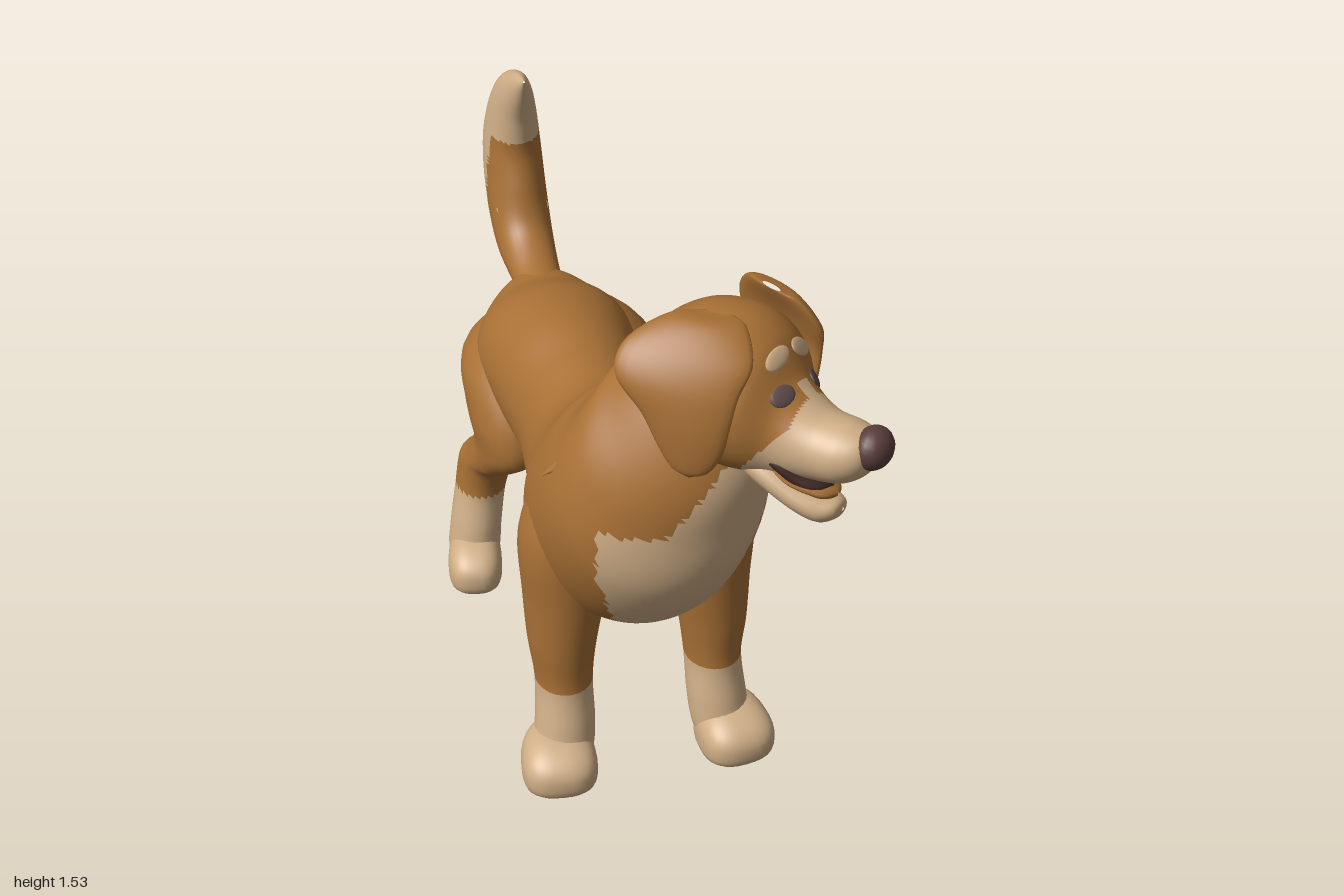
import * as THREE from 'three';

const mat = (name, color) => Object.assign(new THREE.MeshStandardMaterial({ color }), { name });
const DOWN = -Math.PI / 2;
const AXIS = -0.07; // midline of the leg pairs

// Smooth skin through elliptical rings [x, y, z, halfWidth, halfHeight, pitch]
function loft(rings, sides = 24, steps = 8) {
  const centre = new THREE.CatmullRomCurve3(rings.map(r => new THREE.Vector3(r[0], r[1], r[2])), false, 'catmullrom', 0.5);
  const size = new THREE.CatmullRomCurve3(rings.map(r => new THREE.Vector3(r[3], r[4], r[5])), false, 'catmullrom', 0.5);
  const n = (rings.length - 1) * steps, pos = [], index = [];
  for (let i = 0; i <= n; i++) {
    const c = centre.getPoint(i / n), s = size.getPoint(i / n);
    const w = Math.max(0.002, s.x), h = Math.max(0.002, s.y);
    for (let j = 0; j < sides; j++) {
      const a = j / sides * Math.PI * 2, k = Math.sin(a) * h;
      pos.push(c.x + Math.cos(a) * w, c.y + Math.cos(s.z) * k, c.z - Math.sin(s.z) * k);
      if (i === n) continue;
      const p = i * sides + j, q = i * sides + (j + 1) % sides;
      index.push(p, q, p + sides, q, q + sides, p + sides);
    }
  }
  const g = new THREE.BufferGeometry();
  g.setAttribute('position', new THREE.Float32BufferAttribute(pos, 3));
  g.setIndex(index);
  g.computeVertexNormals();
  return g;
}

// Sorts the faces into two groups; rule(x, y, z) is true where the second colour goes
function paint(g, rule) {
  const p = g.attributes.position, id = g.index.array, sets = [[], []];
  for (let i = 0; i < id.length; i += 3) {
    const t = [id[i], id[i + 1], id[i + 2]];
    const mid = f => (f(t[0]) + f(t[1]) + f(t[2])) / 3;
    sets[rule(mid(k => p.getX(k)), mid(k => p.getY(k)), mid(k => p.getZ(k))) ? 1 : 0].push(...t);
  }
  g.setIndex([...sets[0], ...sets[1]]);
  g.addGroup(0, sets[0].length, 0);
  g.addGroup(sets[0].length, sets[1].length, 1);
  return g;
}

function warp(g, f) {
  const p = g.attributes.position, v = new THREE.Vector3();
  for (let i = 0; i < p.count; i++) {
    f(v.fromBufferAttribute(p, i));
    p.setXYZ(i, v.x, v.y, v.z);
  }
  g.computeVertexNormals();
  return g;
}

export function createModel() {
  const dog = new THREE.Group();
  dog.name = 'dog';
  const brown = mat('brown fur', 0xa87035), cream = mat('cream fur', 0xcfae86);
  const dark = mat('nose', 0x5a3e3a), eyeMat = mat('eye', 0x5e4a4a);
  const mouthMat = mat('mouth', 0x3c2724);
  const coat = [brown, cream];
  const add = (parent, name, g, m) => {
    const mesh = new THREE.Mesh(g, m);
    mesh.name = name;
    parent.add(mesh);
    return mesh;
  };

  // Torso and neck in one skin, cream on the chest and belly
  const torso = loft([
    [-.09, .78, -.6, .01, .01, 0], [-.09, .78, -.58, .1, .09, 0], [-.09, .75, -.5, .18, .14, 0],
    [-.09, .74, -.38, .22, .195, 0], [-.09, .74, -.2, .205, .215, 0], [-.085, .72, -.05, .19, .225, 0],
    [-.085, .69, .1, .2, .255, 0], [-.08, .71, .22, .23, .285, .05], [-.075, .75, .33, .27, .32, .15],
    [-.065, .82, .46, .29, .335, .35], [-.055, .955, .58, .275, .28, .68], [-.02, 1.1, .62, .245, .24, .8],
    [.03, 1.22, .615, .205, .215, 1], [.08, 1.35, .61, .14, .14, 1.1], [.08, 1.4, .62, .02, .02, 1.1]], 72, 12);
  const chest = (x, y, z) => z > .56 && x < Math.min(.26, .02 + .33 * (y - .42)) &&
    x > (y > .94 ? -.1 + .75 * (y - .94) : Math.max(-.25, -.14 - .3 * (y - .43)));
  const belly = (x, y, z) => z > -.3 && z < .58 && y < .5 - .15 * Math.min(z, .15);
  add(dog, 'torso', paint(torso, (x, y, z) => chest(x, y, z) || belly(x, y, z)), coat);

  // Tail, cream on the back and tip
  const tail = loft([
    [-.09, .83, -.45, .06, .05, 3.14], [-.09, .84, -.6, .07, .057, 3], [-.09, .88, -.74, .082, .085, 2.5],
    [-.09, .99, -.84, .085, .118, 2.05], [-.09, 1.13, -.88, .08, .115, 1.6], [-.09, 1.27, -.84, .06, .09, 1.1],
    [-.09, 1.36, -.76, .03, .045, .85], [-.09, 1.405, -.7, .003, .003, .8]], 32, 12);
  add(dog, 'tail', paint(tail, (x, y, z) => y > 1.17 || z < -.84 || (y < .9 && z < -.72 - (y - .8) * 1.1)), coat);

  // Paw: rounded block with a flat sole, brown where the spot rule says
  function paw(name, x, z, hx, hz, yaw, spot) {
    const box = v => Math.sign(v) * Math.abs(v) ** .78;
    const g = warp(new THREE.SphereGeometry(1, 36, 24), v => {
      const taper = .9 + .1 * v.z; // narrower at the heel
      v.set(box(v.x) * hx * taper, Math.max(0.003, .045 + box(v.y) * .09 * (1 - .2 * v.z)), box(v.z) * hz);
    });
    const m = add(dog, name, paint(g, spot), [cream, brown]);
    m.position.set(x, 0, z);
    m.rotation.y = yaw;
  }

  // Legs: [distance from midline, y, z, half x, half z]
  const front = [[.06, .98, .45, .06, .06], [.12, .9, .44, .12, .11], [.165, .8, .43, .13, .135],
    [.19, .7, .43, .123, .135], [.195, .55, .43, .11, .125],
    [.205, .4, .44, .092, .105], [.205, .27, .45, .077, .09], [.21, .15, .48, .08, .085],
    [.22, .06, .5, .08, .08], [.22, .02, .5, .05, .05]];
  const rear = [[.02, .87, -.4, .03, .05], [.08, .81, -.4, .105, .14], [.145, .71, -.4, .13, .187],
    [.168, .6, -.388, .115, .175], [.175, .5, -.41, .095, .145], [.2, .42, -.505, .082, .115],
    [.22, .365, -.56, .077, .103], [.238, .27, -.57, .072, .085], [.258, .15, -.555, .073, .085],
    [.268, .06, -.545, .072, .08], [.268, .02, -.545, .04, .04]];
  for (const s of [1, -1]) {
    const side = s > 0 ? 'left' : 'right';
    const leg = (name, rings, shift) => add(dog, side + name, paint(loft(
      rings.map(([d, y, z, w, h]) => [AXIS + s * d, y, z + shift(y), w, h, DOWN]), 24, 8),
    (x, y) => y < .275), coat);
    leg('FrontLeg', front, () => 0);
    paw(side + 'FrontPaw', AXIS + s * .242, .535, .112, .117, s * .12, () => false);
    // the right rear leg steps forward
    const step = y => s > 0 ? 0 : .15 * THREE.MathUtils.clamp((.7 - y) / .28, 0, 1);
    leg('RearLeg', rear, step);
    paw(side + 'RearPaw', AXIS + s * .275, -.505 + step(0), .086, .127, s * .2,
      (x, y, z) => s > 0 && x > .04 && Math.hypot(y - .1, (z - .035) * .7) < .024);
  }

  // Head, turned to its left and tilted
  const head = new THREE.Group();
  head.name = 'head';
  head.position.set(.09, 1.27, .64);
  head.rotation.set(0, .73, -.24, 'YXZ');
  dog.add(head);
  const skull = add(head, 'skull', paint(loft([
    [0, -.02, -.23, .04, .04, 0], [0, -.01, -.18, .14, .14, 0], [0, .015, -.08, .19, .19, 0],
    [0, .02, .04, .205, .2, 0], [0, .005, .13, .18, .175, 0], [0, -.035, .2, .125, .122, 0],
    [0, -.05, .28, .1, .09, 0], [0, -.045, .36, .09, .078, 0], [0, -.035, .41, .06, .05, 0],
    [0, -.035, .425, .005, .005, 0]], 64, 12),
  (x, y, z) => z > .235 + .75 * Math.min(0, y) - (Math.abs(x) < .025 ? .035 : 0)), coat);
  add(head, 'lowerJaw', loft([
    [0, -.1, .08, .09, .06, -.3], [0, -.14, .17, .1, .052, -.35], [0, -.183, .26, .085, .045, -.3],
    [0, -.202, .32, .064, .04, -.1], [0, -.197, .355, .037, .024, 0], [0, -.195, .365, .004, .004, 0]], 24), cream);
  add(head, 'mouth', loft([
    [0, -.08, .12, .06, .03, -.3], [0, -.095, .2, .106, .028, -.35], [0, -.137, .27, .079, .028, -.3],
    [0, -.15, .315, .045, .02, -.1], [0, -.15, .33, .004, .004, 0]], 24), mouthMat);
  add(head, 'tongue', loft([
    [0, -.12, .19, .08, .012, -.4], [0, -.142, .25, .087, .016, -.35], [0, -.158, .31, .06, .018, -.2],
    [0, -.161, .335, .036, .013, 0], [0, -.161, .347, .004, .004, 0]], 20), brown);
  const nose = add(head, 'nose', new THREE.SphereGeometry(1, 20, 14), dark);
  nose.scale.set(.06, .055, .047);
  nose.position.set(0, -.014, .414);

  // Eyes and brow marks laid flat on the skull surface
  const ray = new THREE.Raycaster();
  const probe = new THREE.Mesh(skull.geometry, coat);
  function patch(name, x, y, w, h, roll, m) {
    ray.set(new THREE.Vector3(x, y, 1), new THREE.Vector3(0, 0, -1));
    const hit = ray.intersectObject(probe)[0];
    const mesh = add(head, name, new THREE.SphereGeometry(1, 16, 10), m);
    mesh.scale.set(w, h, .007);
    mesh.quaternion.setFromUnitVectors(new THREE.Vector3(0, 0, 1), hit.face.normal);
    mesh.rotateZ(roll);
    mesh.position.copy(hit.point);
  }
  for (const s of [1, -1]) {
    const side = s > 0 ? 'left' : 'right';
    patch(side + 'Eye', s * .078, .066, .037, .026, s * -.2, eyeMat);
    patch(side + 'Brow', s * .055, .142, .048, .024, s * -.3, cream);
    // Folded ear flap, its rear edge standing away from the head
    const ear = loft([[.13, .235, .02, .012, .03], [.165, .22, .01, .036, .09], [.22, .155, .005, .038, .145],
      [.255, .08, .005, .035, .14], [.262, 0, .04, .032, .1], [.255, -.07, .055, .029, .075],
      [.25, -.125, .06, .018, .043], [.25, -.145, .06, .003, .005]]
      .map(([x, y, z, w, h]) => [s * x, y, z, w, h, DOWN]));
    add(head, side + 'Ear', warp(ear, v => { v.x -= s * .35 * v.z; }), brown);
  }

  // Pointed locks of fur, each from a buried root to a tip
  function lock(name, root, tip, width, m) {
    const a = new THREE.Vector3(...root), b = new THREE.Vector3(...tip), d = b.clone().sub(a);
    const mesh = add(dog, name, new THREE.ConeGeometry(width, d.length(), 12), m);
    mesh.position.copy(a).lerp(b, .5);
    mesh.quaternion.setFromUnitVectors(new THREE.Vector3(0, 1, 0), d.normalize());
  }
  lock('neckFur', [-.08, 1.19, .58], [-.345, 1.0, .53], .09, brown);
  lock('neckFur', [-.13, 1.04, .6], [-.315, .79, .62], .08, brown);
  lock('neckFur', [.1, 1.15, .58], [.245, .94, .55], .075, brown);
  lock('tailFur', [-.09, .97, -.76], [-.09, .82, -.925], .075, cream);
  lock('tailFur', [-.09, .88, -.66], [-.09, .76, -.74], .055, cream);
  return dog;
}
